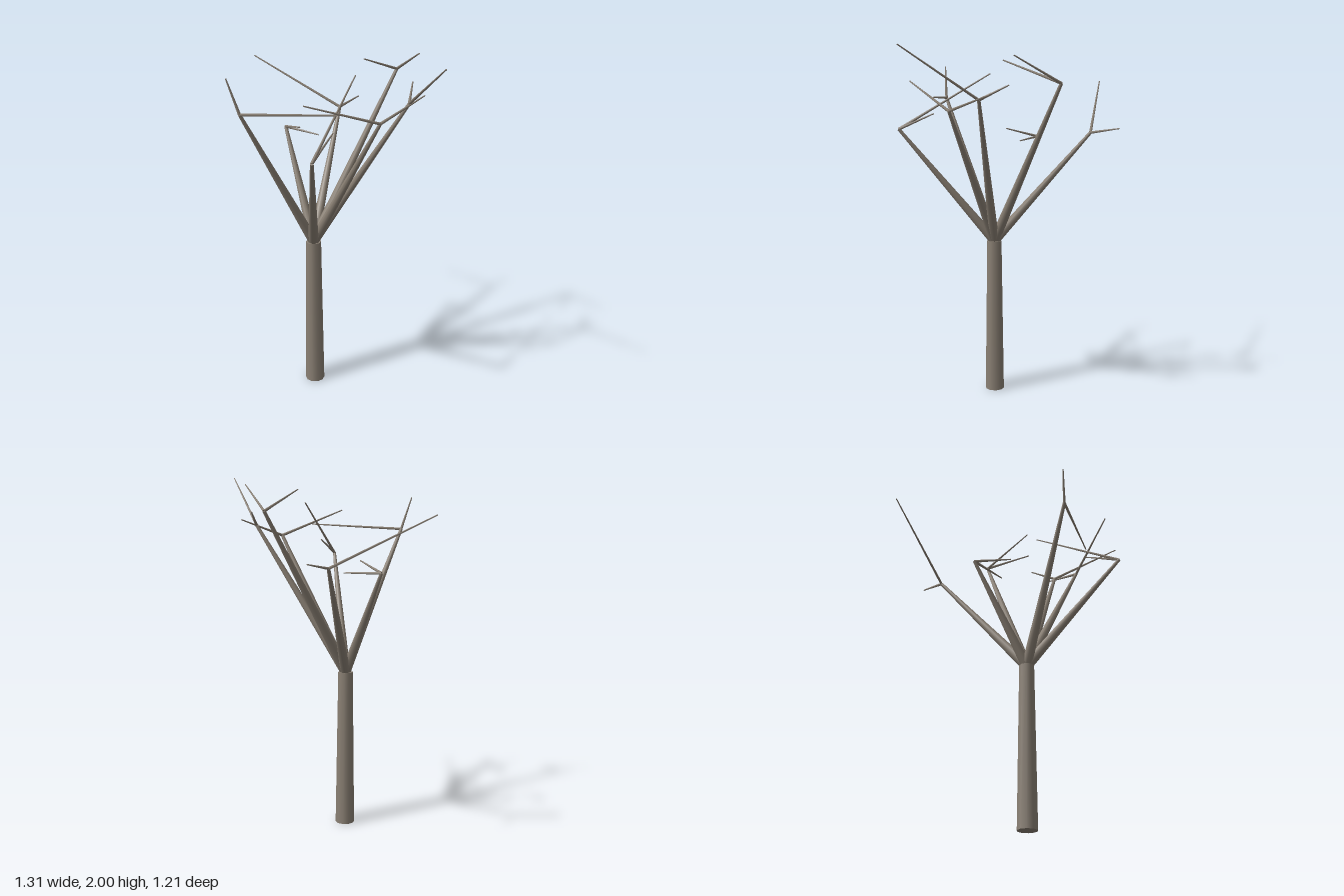
import * as THREE from 'three';

const bark = new THREE.MeshStandardMaterial({ color: 0x8a8074, side: THREE.DoubleSide });
const UP = new THREE.Vector3(0, 1, 0);

// Tapered round limb between two points
function limb(name, from, to, r0, r1, sides) {
  const a = new THREE.Vector3(...from);
  const dir = new THREE.Vector3(...to).sub(a);
  const length = dir.length();
  const geometry = new THREE.CylinderGeometry(r1, r0, length, sides);
  geometry.translate(0, length / 2, 0);
  const mesh = new THREE.Mesh(geometry, bark);
  mesh.name = name;
  mesh.position.copy(a);
  mesh.quaternion.setFromUnitVectors(UP, dir.normalize());
  return mesh;
}

// Each branch: its tip, and the ends of the two twigs that fork from it
const branches = [
  { tip: [-0.12, 1.53, -0.445], twigs: [[-0.655, 1.795, -0.457], [-0.05, 1.56, -0.605]] },
  { tip: [0.247, 1.81, -0.318], twigs: [[0.415, 1.95, -0.1], [0.148, 1.925, 0]] },
  { tip: [0.41, 1.73, 0.078], twigs: [[0.65, 2, 0.42], [0.392, 1.805, -0.073]] },
  { tip: [0.308, 1.667, 0.257], twigs: [[0.475, 1.76, 0.008], [0.01, 1.81, 0.547]] },
  { tip: [0.067, 1.55, 0.6], twigs: [[0.125, 1.855, 0.073], [0.105, 1.64, 0.39]] },
  { tip: [-0.368, 1.703, 0.432], twigs: [[0.157, 1.73, 0.375], [-0.425, 1.885, 0.45]] },
  { tip: [-0.337, 1.485, -0.12], twigs: [[-0.12, 1.478, -0.05], [-0.195, 1.54, 0.04]] },
];

export function createModel() {
  const tree = new THREE.Group();
  tree.name = 'bareTree';

  // Trunk
  const crown = [-0.104, 0.9, 0.096];
  tree.add(limb('trunk', [crown[0], 0, crown[2]], crown, 0.055, 0.042, 10));

  // Branches spreading from the trunk top, each forking into twigs
  branches.forEach(({ tip, twigs }, i) => {
    const group = new THREE.Group();
    group.name = `bough${i + 1}`;
    group.add(limb('branch', crown, tip, 0.029, 0.009, 10));
    for (const end of twigs) group.add(limb('twig', tip, end, 0.008, 0.0035, 6));
    tree.add(group);
  });
  return tree;
}
